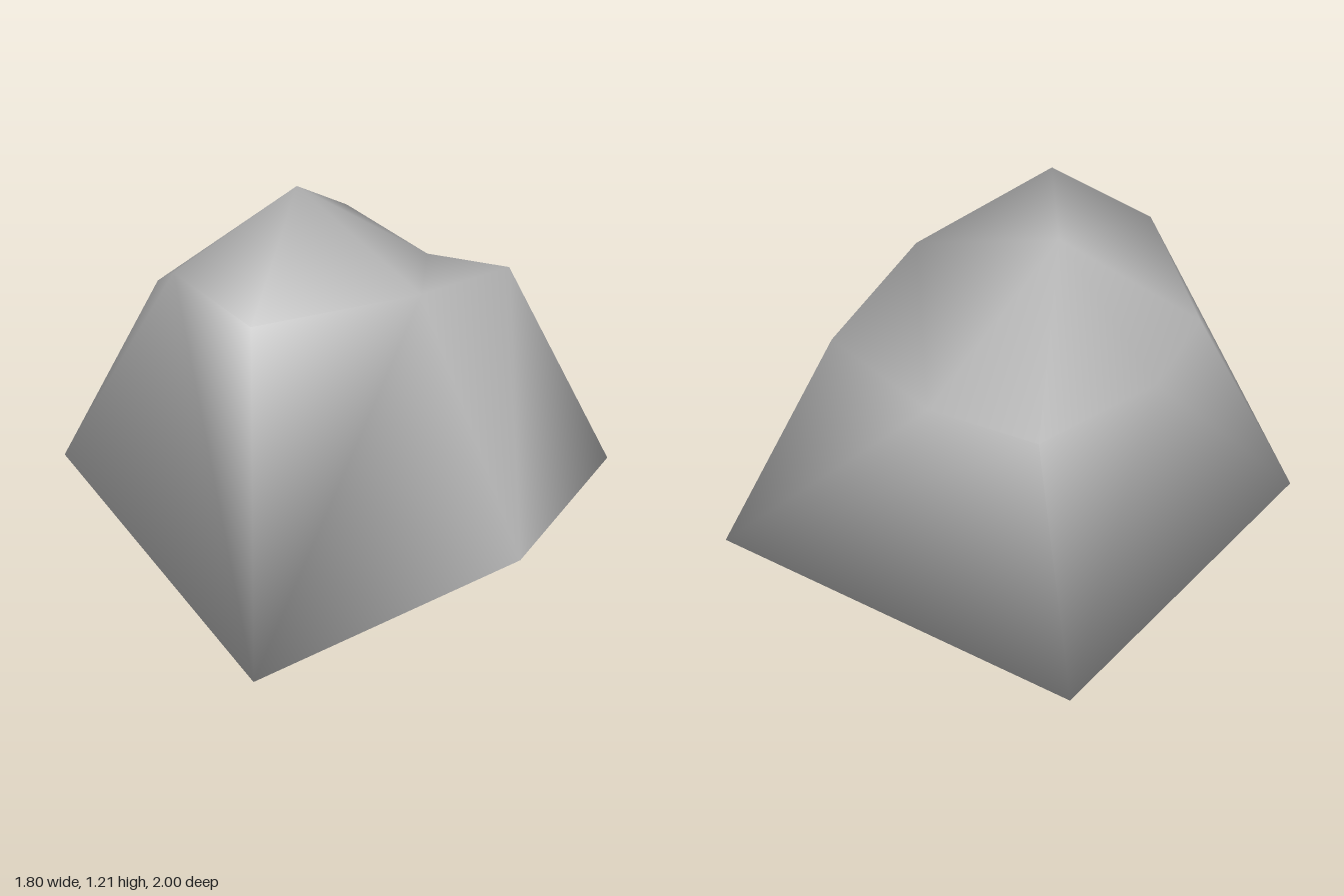
import * as THREE from 'three';

// Ground outline, counter-clockwise from above, starting at the front left corner
const base = [[0.7, 0, 1], [0.9, 0, -0.2], [0.7, 0, -1], [-0.9, 0, -1], [-0.9, 0, 0.6]];

// Shoulder ring, in the same direction, starting above the front left corner
const shoulder = [
  [0.28, 1.09, 0.6], [0.42, 1.0, -0.12], [0.35, 0.87, -0.71], [-0.11, 0.75, -0.74],
  [-0.6, 0.8, -0.76], [-0.72, 0.8, -0.2], [-0.62, 0.81, 0.28], [-0.26, 1.06, 0.49],
];
const peak = [-0.25, 1.21, -0.13];

export function createModel() {
  const stone = new THREE.MeshStandardMaterial({ color: 0xb4b4b4 });
  stone.name = 'grey stone';

  const points = [...base, ...shoulder, peak];
  const nb = base.length, ns = shoulder.length, top = nb + ns;
  const s = (i) => nb + (i % ns);
  const faces = [];

  // Underside
  for (let i = 1; i < nb - 1; i++) faces.push(0, i + 1, i);

  // Flanks: walk round both rings, stepping along the ground (b) or the shoulder (s)
  let b = 0, t = 0;
  for (const step of 'sbsbssbsbssbs') {
    if (step === 'b') {
      faces.push(b % nb, (b + 1) % nb, s(t));
      b++;
    } else {
      faces.push(b % nb, s(t + 1), s(t));
      t++;
    }
  }

  // Cap, with a notch behind the left shoulder
  for (let i = 0; i < ns; i++) {
    if (i === 1) faces.push(top, s(1), s(3));
    else if (i === 2) faces.push(s(1), s(2), s(3));
    else faces.push(top, s(i), s(i + 1));
  }

  const geometry = new THREE.BufferGeometry();
  geometry.setAttribute('position', new THREE.Float32BufferAttribute(points.flat(), 3));
  geometry.setIndex(faces);
  geometry.computeVertexNormals();

  const rock = new THREE.Mesh(geometry, stone);
  rock.name = 'rock';
  const model = new THREE.Group();
  model.name = 'boulder';
  model.add(rock);
  return model;
}
